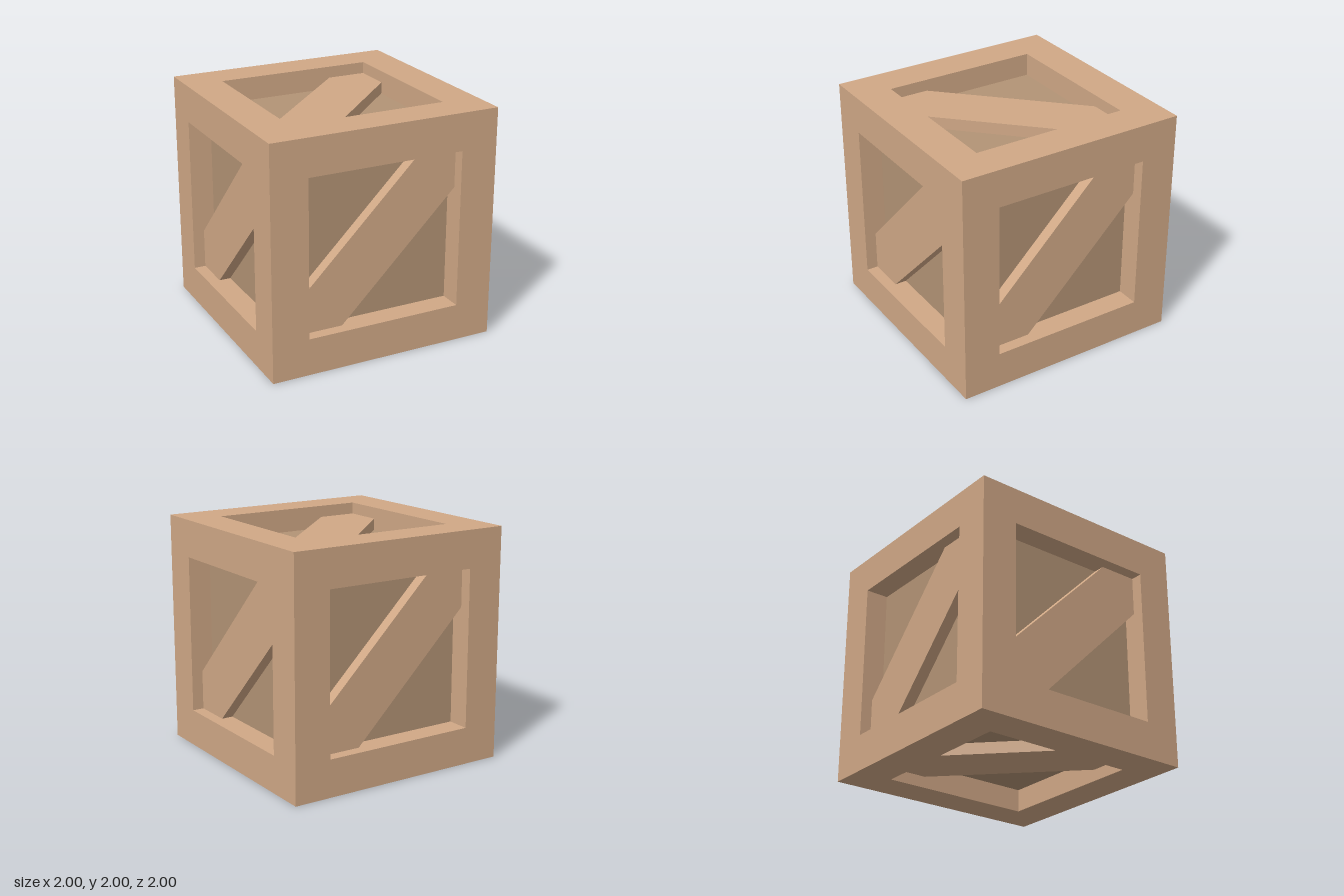
import * as THREE from 'three';

const HALF = 1, OPEN = 0.68, RECESS = 0.2, PLANK = 0.1;

function polygon(points) {
  return new THREE.Shape(points.map(([x, y]) => new THREE.Vector2(x, y)));
}

function square(r) {
  return polygon([[-r, -r], [r, -r], [r, r], [-r, r]]);
}

// Square frame whose outer edge is mitred at 45 degrees to meet its neighbours
function frameGeometry() {
  const shape = square(HALF);
  shape.holes.push(square(OPEN));
  const geo = new THREE.ExtrudeGeometry(shape, { depth: RECESS, bevelEnabled: false });
  geo.translate(0, 0, HALF - RECESS);
  const p = geo.attributes.position;
  for (let i = 0; i < p.count; i++) {
    const outer = Math.max(Math.abs(p.getX(i)), Math.abs(p.getY(i))) > OPEN + 0.1;
    if (outer && p.getZ(i) < HALF - RECESS / 2) {
      p.setXY(i, p.getX(i) * (1 - RECESS), p.getY(i) * (1 - RECESS));
    }
  }
  geo.computeVertexNormals();
  return geo;
}

// Diagonal plank trimmed to the corners of the opening
function plankGeometry() {
  const a = OPEN, b = OPEN / 2;
  const shape = polygon([[-a, -a], [-b, -a], [a, b], [a, a], [b, a], [-a, -b]]);
  const geo = new THREE.ExtrudeGeometry(shape, { depth: PLANK, bevelEnabled: false });
  return geo.translate(0, 0, HALF - RECESS);
}

export function createModel() {
  const crate = new THREE.Group();
  crate.name = 'crate';
  const wood = new THREE.MeshStandardMaterial({ color: 0xd0a886 });
  const panelWood = new THREE.MeshStandardMaterial({ color: 0xb39375 });

  const body = new THREE.Group();
  body.name = 'crateBody';
  body.position.y = HALF;
  crate.add(body);

  // Inner box: its faces are the recessed panels
  const size = 2 * (HALF - RECESS);
  const panels = new THREE.Mesh(new THREE.BoxGeometry(size, size, size), panelWood);
  panels.name = 'innerPanels';
  body.add(panels);

  // The same framed side on all six faces; the bottom is turned a quarter
  const frame = frameGeometry(), plank = plankGeometry(), Q = Math.PI / 2;
  const sides = {
    front: [0, 0, 0], right: [0, Q, 0], back: [0, 2 * Q, 0], left: [0, -Q, 0],
    top: [-Q, 0, 0], bottom: [Q, 0, Q],
  };
  for (const [name, rotation] of Object.entries(sides)) {
    const side = new THREE.Group();
    side.name = name + 'Side';
    side.rotation.set(...rotation);
    const frameMesh = new THREE.Mesh(frame, wood);
    frameMesh.name = name + 'Frame';
    const plankMesh = new THREE.Mesh(plank, wood);
    plankMesh.name = name + 'DiagonalPlank';
    side.add(frameMesh, plankMesh);
    body.add(side);
  }
  return crate;
}
